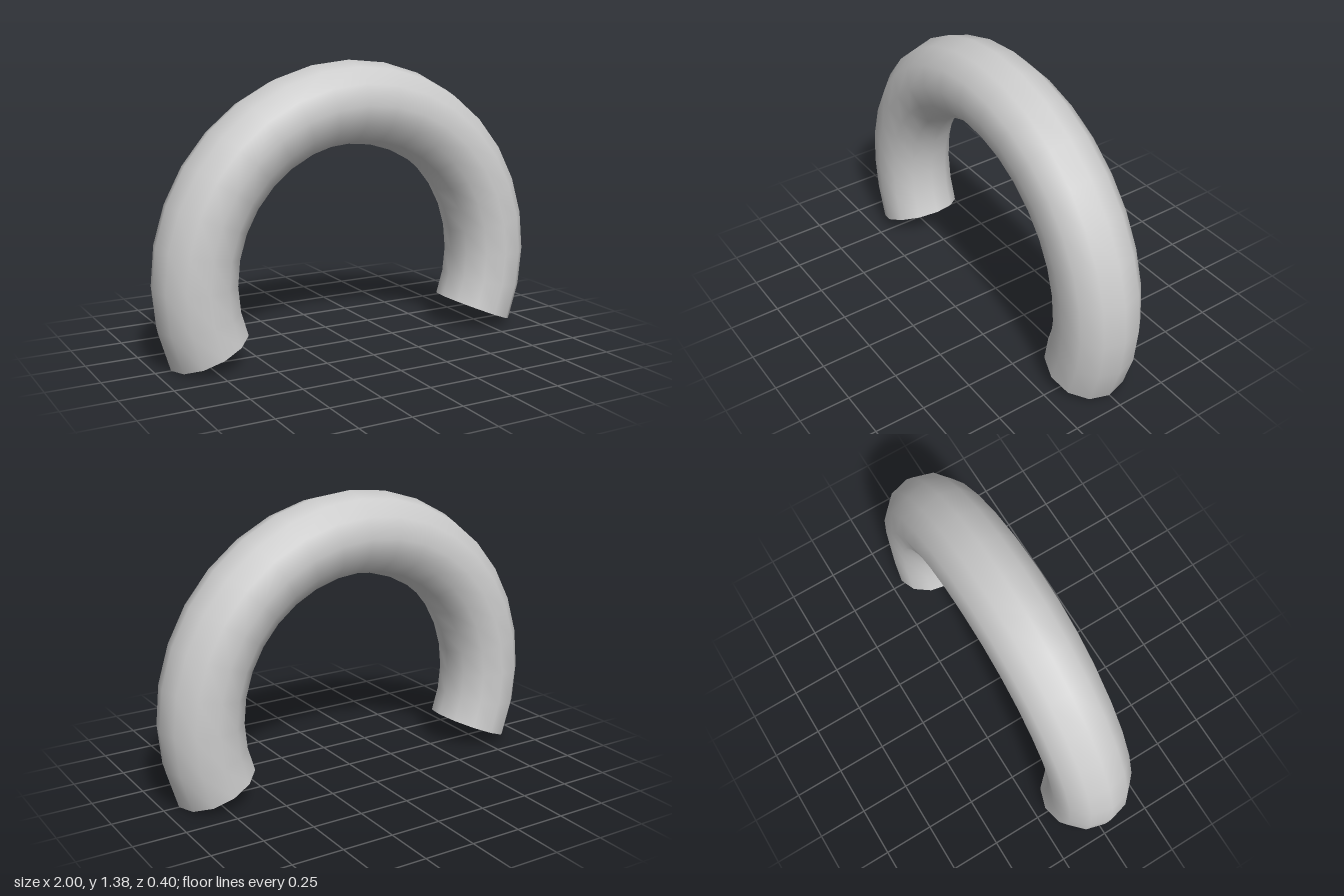
import * as THREE from 'three';

export function createModel() {
  const group = new THREE.Group();
  group.name = 'archedTube';

  // Hollow tube bent through 225 degrees, open at both ends
  const overhang = Math.PI / 8;
  const geometry = new THREE.TorusGeometry(0.8, 0.2, 12, 20, Math.PI + 2 * overhang);
  geometry.rotateZ(-overhang);
  geometry.translate(0, Math.sin(overhang), 0);

  const material = new THREE.MeshStandardMaterial({ color: 0xcccccc, side: THREE.DoubleSide });
  const tube = new THREE.Mesh(geometry, material);
  tube.name = 'bentTube';
  group.add(tube);
  return group;
}
